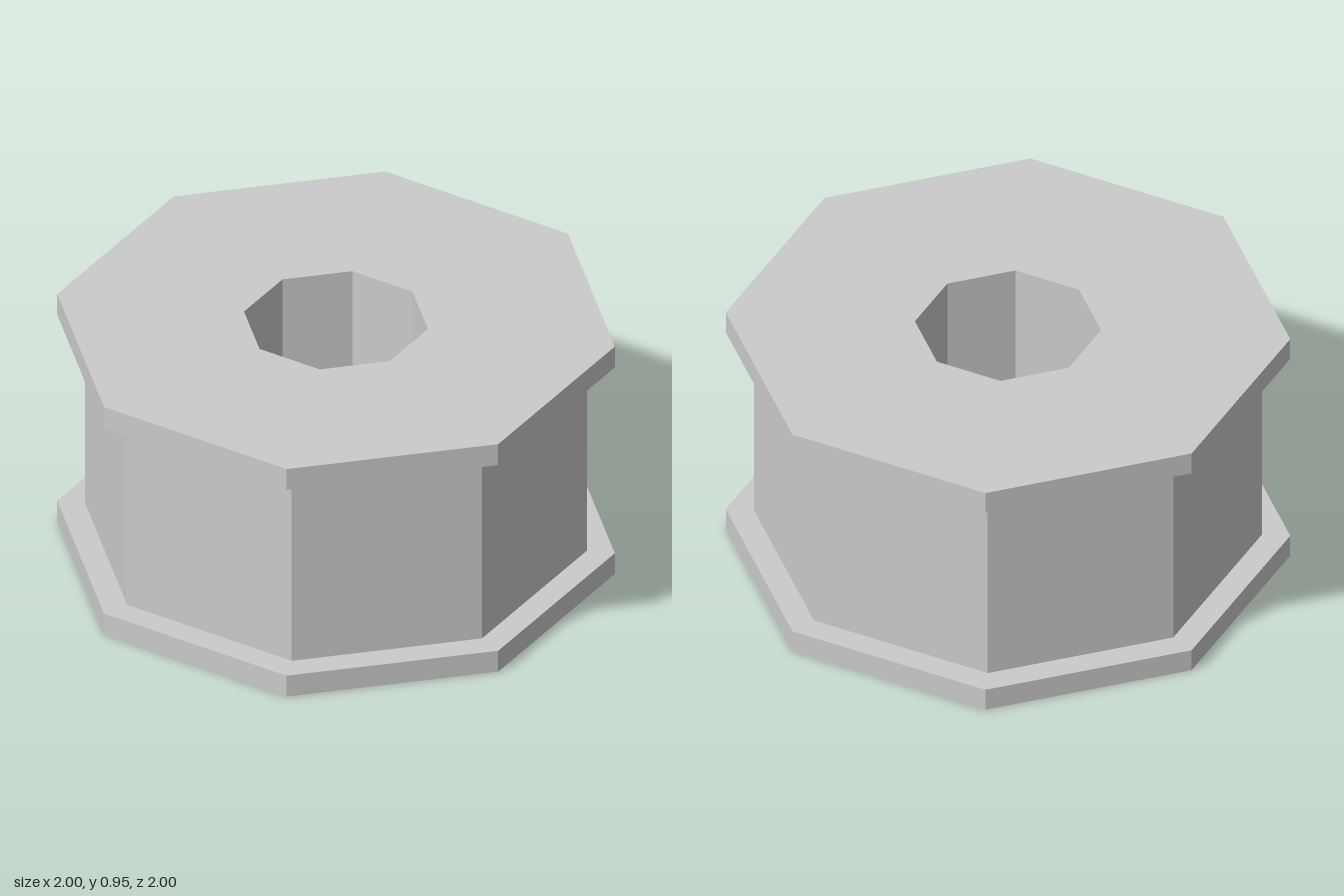
import * as THREE from 'three';

const SIDES = 8;
const HEIGHT = 0.95, FLANGE = 0.087;
const R_FLANGE = 1, R_DRUM = 0.9, R_BORE = 0.33;

export function createModel() {
  const group = new THREE.Group();
  group.name = 'spool';
  const material = new THREE.MeshStandardMaterial({ color: 0xcccccc, flatShading: true });

  // Revolves a [radius, height] profile into an eight-sided part
  const addPart = (name, profile) => {
    const points = profile.map(([r, y]) => new THREE.Vector2(r, y));
    const mesh = new THREE.Mesh(new THREE.LatheGeometry(points, SIDES), material);
    mesh.name = name;
    group.add(mesh);
  };

  const top = HEIGHT - FLANGE;

  // Flanges: wide end plates, open where the drum and bore join them
  addPart('lowerFlange', [[R_BORE, 0], [R_FLANGE, 0], [R_FLANGE, FLANGE], [R_DRUM, FLANGE]]);
  addPart('upperFlange', [[R_DRUM, top], [R_FLANGE, top], [R_FLANGE, HEIGHT], [R_BORE, HEIGHT]]);

  // Drum: outer wall between the flanges
  addPart('drum', [[R_DRUM, FLANGE], [R_DRUM, top]]);

  // Bore: through hole, running downward so its faces look inward
  addPart('bore', [[R_BORE, HEIGHT], [R_BORE, 0]]);

  return group;
}
